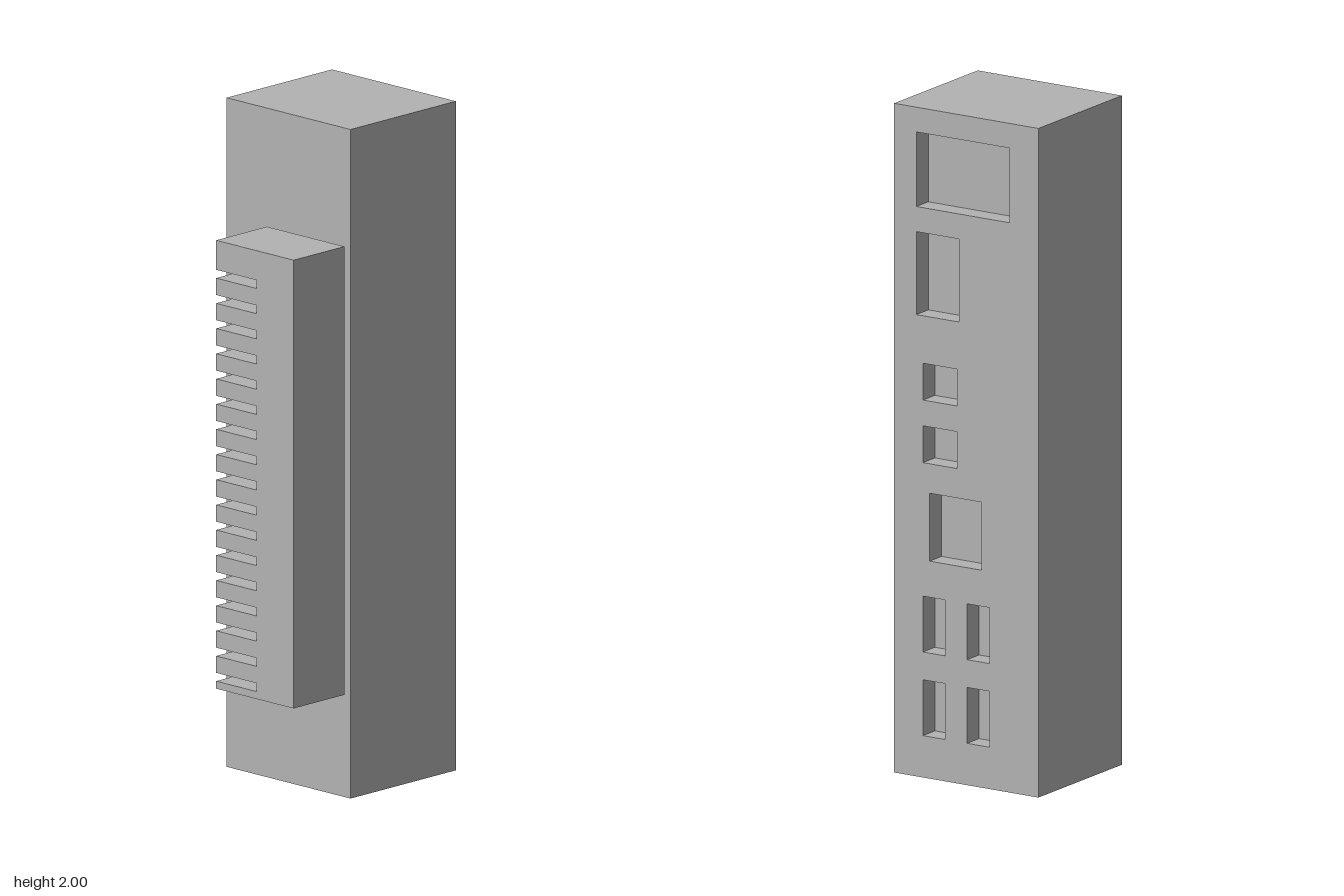
import * as THREE from 'three';

const grey = new THREE.MeshStandardMaterial({ color: 0xb2b2b2 });
grey.name = 'plainGrey';

// Closed outline around a rectangle
function rectangle(Type, x0, x1, y0, y1) {
  const r = new Type();
  r.moveTo(x0, y0);
  r.lineTo(x1, y0);
  r.lineTo(x1, y1);
  r.lineTo(x0, y1);
  r.closePath();
  return r;
}

// Extrude a shape between two depths
function slab(name, shape, z0, z1) {
  const geometry = new THREE.ExtrudeGeometry(shape, { depth: z1 - z0, bevelEnabled: false });
  geometry.translate(0, 0, z0);
  const mesh = new THREE.Mesh(geometry, grey);
  mesh.name = name;
  return mesh;
}

export function createModel() {
  const model = new THREE.Group();
  model.name = 'tower';

  const back = -0.335, front = 0.1, recess = 0.0625;

  // Solid body of the tower
  model.add(slab('towerBody', rectangle(THREE.Shape, -0.25, 0.25, 0, 2), back + recess, front));

  // Rear panel with port openings: x0, x1, y0, y1
  const ports = [
    [-0.15, 0.173, 1.703, 1.926],
    [0.025, 0.173, 1.38, 1.628],
    [0.032, 0.15, 1.128, 1.238],
    [0.032, 0.15, 0.941, 1.051],
    [-0.053, 0.127, 0.65, 0.853],
  ];
  for (const y of [0.375, 0.125]) {
    for (const x of [0.073, -0.08]) ports.push([x, x + 0.077, y, y + 0.167]);
  }
  const panel = rectangle(THREE.Shape, -0.25, 0.25, 0, 2);
  for (const port of ports) panel.holes.push(rectangle(THREE.Path, ...port));
  model.add(slab('rearPortPanel', panel, back, back + recess));

  // Front block with a comb of slots open on one side
  const left = -0.0625, slotEnd = 0.1, slots = 17, pitch = 0.0753, slotHeight = 0.025;
  const comb = new THREE.Shape();
  comb.moveTo(left, 0.315);
  comb.lineTo(0.25, 0.315);
  comb.lineTo(0.25, 1.655);
  comb.lineTo(left, 1.655);
  for (let i = 0; i < slots; i++) {
    const top = 1.567 - i * pitch;
    comb.lineTo(left, top);
    comb.lineTo(slotEnd, top);
    comb.lineTo(slotEnd, top - slotHeight);
    comb.lineTo(left, top - slotHeight);
  }
  comb.closePath();
  model.add(slab('slottedFrontBlock', comb, 0.125, 0.335));

  return model;
}
